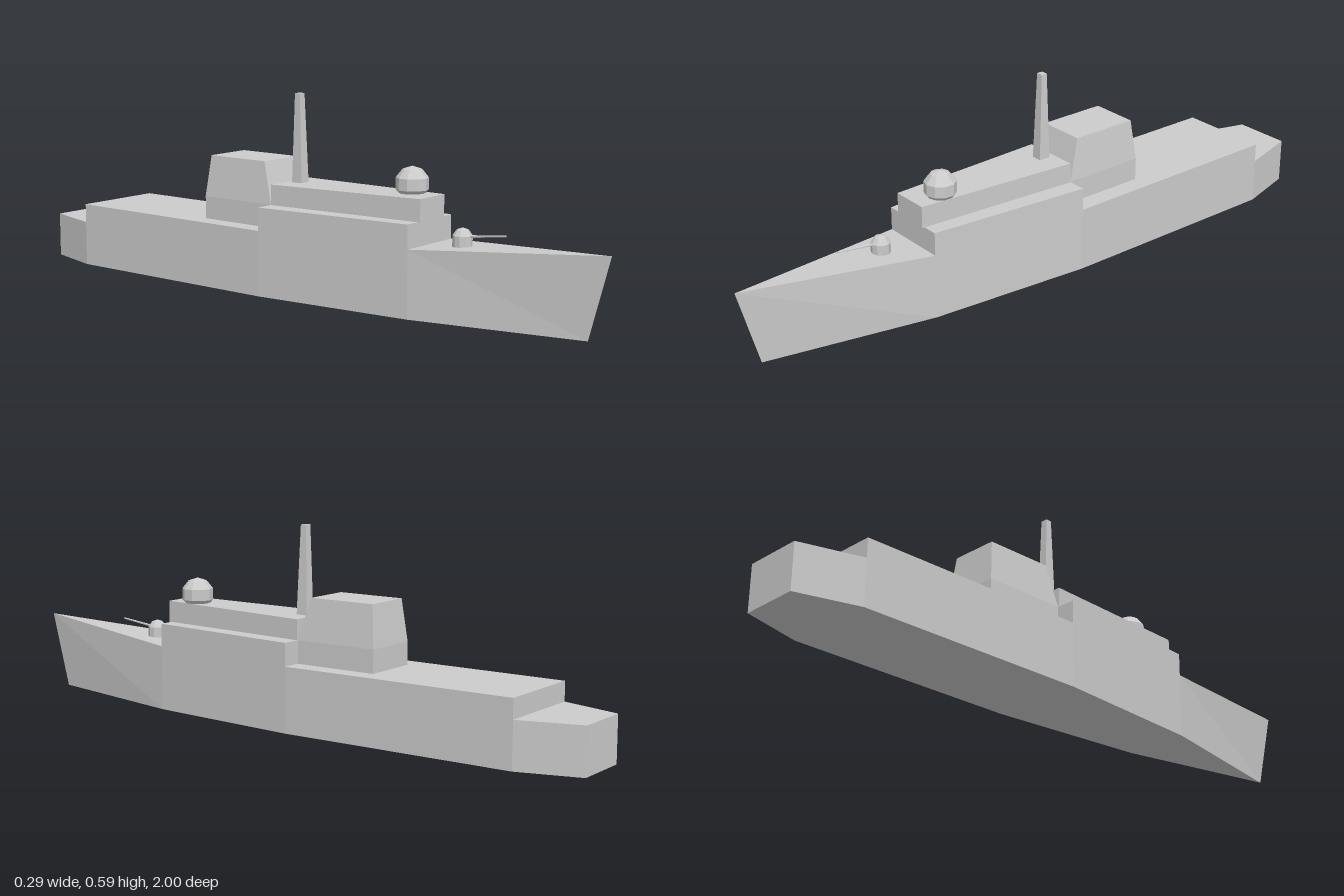
import * as THREE from 'three';

const material = new THREE.MeshStandardMaterial({ color: 0xcccccc, flatShading: true });

function add(group, name, geometry, x = 0, y = 0, z = 0) {
  const mesh = new THREE.Mesh(geometry, material);
  mesh.name = name;
  mesh.position.set(x, y, z);
  group.add(mesh);
  return mesh;
}

// Skin a row of four-cornered rings and cap both ends, skipping empty triangles
function loft(rings) {
  const pos = [];
  const tri = (a, b, c) => {
    const t = new THREE.Triangle(a, b, c);
    if (t.getArea() > 1e-7) pos.push(...a, ...b, ...c);
  };
  const quad = (a, b, c, d) => { tri(a, b, c); tri(a, c, d); };
  for (let i = 0; i < rings.length - 1; i++) {
    const r = rings[i], s = rings[i + 1];
    for (let j = 0; j < 4; j++) {
      const k = (j + 1) % 4;
      quad(r[j], r[k], s[k], s[j]);
    }
  }
  const first = rings[0], last = rings[rings.length - 1];
  quad(first[3], first[2], first[1], first[0]);
  quad(...last);
  const g = new THREE.BufferGeometry();
  g.setAttribute('position', new THREE.Float32BufferAttribute(pos, 3));
  g.computeVertexNormals();
  return g;
}

const v = (x, y, z) => new THREE.Vector3(x, y, z);

// Upright cross-section; the lower edge may sit at a different z
const station = (z, w, y0, y1, zLow = z) =>
  [v(-w, y0, zLow), v(w, y0, zLow), v(w, y1, z), v(-w, y1, z)];

// Level rectangle from z0 (rear) to z1 (front)
const level = (y, w, z0, z1) =>
  [v(-w, y, z1), v(w, y, z1), v(w, y, z0), v(-w, y, z0)];

// Ten-sided domed drum
function dome(profile) {
  return new THREE.LatheGeometry(profile.map(([r, y]) => new THREE.Vector2(r, y)), 10);
}

export function createModel() {
  const ship = new THREE.Group();
  ship.name = 'ship';

  // Hull with stepped decks, stern to bow
  add(ship, 'hull', loft([
    station(-1, 0.09, 0, 0.138),
    station(-0.815, 0.144, 0, 0.138),
    station(-0.815, 0.144, 0, 0.196),
    station(-0.077, 0.147, 0, 0.196),
    station(-0.077, 0.147, 0, 0.265),
    station(0.43, 0.105, 0, 0.267),
    station(0.43, 0.105, 0, 0.197),
    station(1, 0, 0, 0.235, 0.937),
  ]));

  // Deckhouse
  add(ship, 'deckhouse', loft([
    station(-0.076, 0.09, 0.26, 0.326),
    station(0.438, 0.058, 0.266, 0.332),
  ]));

  // Hangar with a sloped upper part
  add(ship, 'hangar', loft([
    level(0.19, 0.088, -0.34, -0.078),
    level(0.265, 0.088, -0.34, -0.078),
    level(0.39, 0.074, -0.327, -0.115),
  ]));

  // Mast
  add(ship, 'mast', loft([
    level(0.32, 0.0165, -0.057, -0.02),
    level(0.591, 0.0105, -0.05, -0.031),
  ]));

  // Radar dome, offset to the left
  add(ship, 'radarDome', dome([
    [0, 0], [0.036, 0], [0.047, 0.013], [0.047, 0.047], [0.028, 0.071], [0, 0.08],
  ]), 0.026, 0.328, 0.35);

  // Deck gun
  const gun = new THREE.Group();
  gun.name = 'deckGun';
  gun.position.set(0, 0.198, 0.54);
  add(gun, 'turret', dome([
    [0, 0], [0.028, 0], [0.028, 0.037], [0.017, 0.053], [0, 0.059],
  ]));
  const barrel = add(gun, 'barrel', new THREE.CylinderGeometry(0.0025, 0.004, 0.14, 6), 0, 0.042, 0.071);
  barrel.rotation.x = Math.PI / 2 - 0.12;
  ship.add(gun);

  return ship;
}
